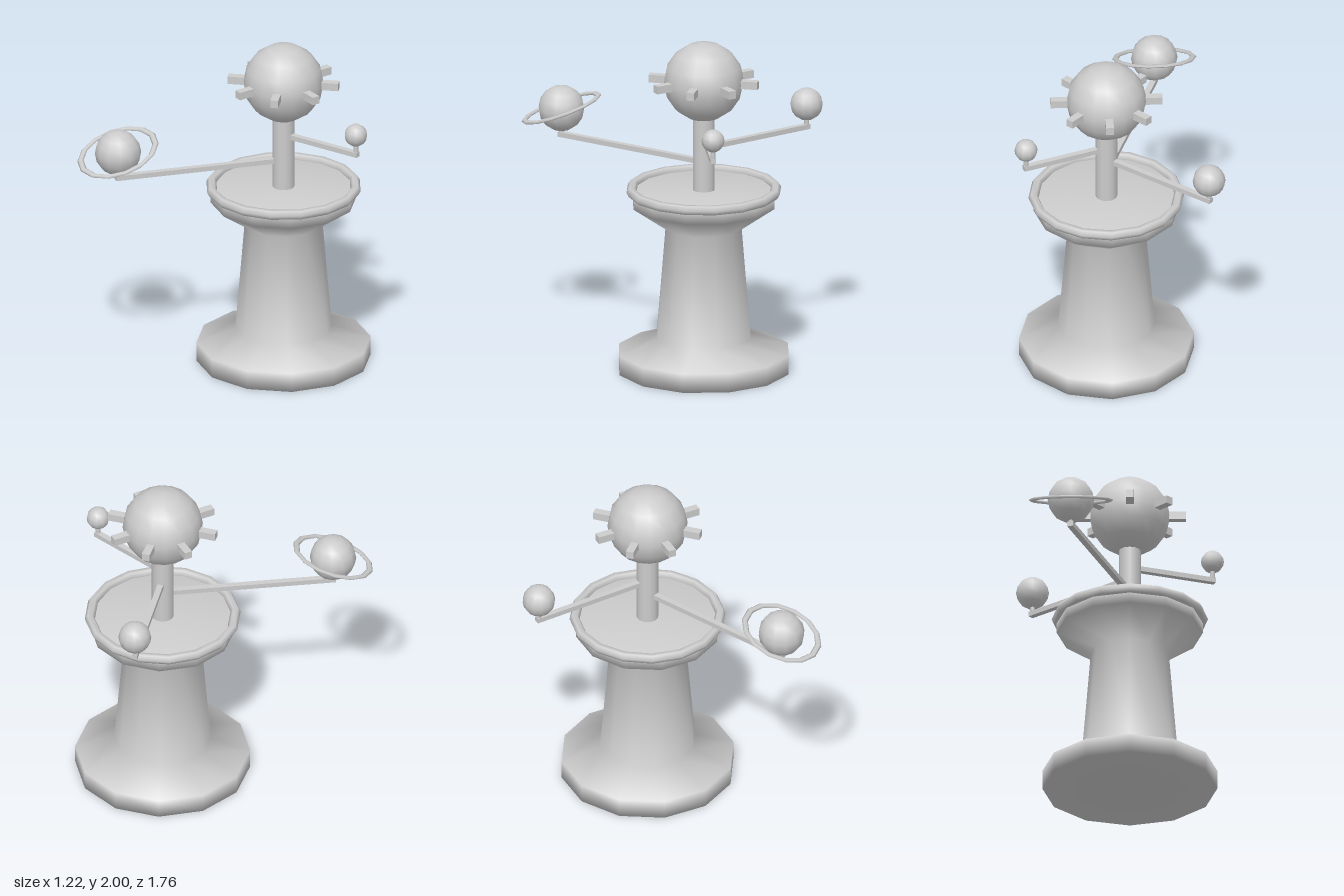
import * as THREE from 'three';

export function createModel() {
  const model = new THREE.Group();
  model.name = 'orrery';
  const grey = new THREE.MeshStandardMaterial({ color: 0xcccccc });
  grey.name = 'light grey';

  // everything turns around one upright axis
  const hub = new THREE.Group();
  hub.name = 'hub';
  hub.position.set(0.055, 0, -0.3);
  model.add(hub);

  function add(parent, name, geometry, x = 0, y = 0, z = 0) {
    const mesh = new THREE.Mesh(geometry, grey);
    mesh.name = name;
    mesh.position.set(x, y, z);
    parent.add(mesh);
    return mesh;
  }

  // turned pedestal with foot, shaft and flared table
  const profile = [
    [0, 0], [0.515, 0], [0.515, 0.115], [0.285, 0.2],
    [0.23, 0.87], [0.43, 1.01], [0.43, 1.095], [0, 1.1],
  ].map(([r, y]) => new THREE.Vector2(r, y));
  add(hub, 'pedestal', new THREE.LatheGeometry(profile, 12));

  // table rim
  add(hub, 'rim', new THREE.TorusGeometry(0.43, 0.03, 6, 16), 0, 1.098).rotation.x = Math.PI / 2;

  // central column and sun
  add(hub, 'column', new THREE.CylinderGeometry(0.065, 0.065, 0.5, 12), 0, 1.33);
  add(hub, 'sun', new THREE.SphereGeometry(0.237, 16, 8), 0, 1.764);

  // sun rays
  for (let i = 0; i < 8; i++) {
    const a = (i * Math.PI) / 4;
    const ray = add(hub, 'ray', new THREE.BoxGeometry(0.1, 0.047, 0.047),
      Math.cos(a) * 0.28, 1.763, -Math.sin(a) * 0.28);
    ray.rotation.y = a;
  }

  // arms, each with a post and a planet
  const planets = [
    { angle: 20, length: 0.517, armY: 1.43, y: 1.552, radius: 0.068, sides: 10 },
    { angle: 140, length: 0.748, armY: 1.355, y: 1.492, radius: 0.097, sides: 12 },
    { angle: 250, length: 1.01, armY: 1.27, y: 1.43, radius: 0.137, sides: 12 },
  ];
  for (const p of planets) {
    const a = THREE.MathUtils.degToRad(p.angle);
    const arm = new THREE.Group();
    arm.name = 'planetArm';
    arm.rotation.y = a;
    hub.add(arm);
    add(arm, 'bar', new THREE.BoxGeometry(p.length + 0.015, 0.03, 0.035), (p.length + 0.015) / 2, p.armY);
    const postTop = p.y - p.radius * 0.8;
    add(arm, 'post', new THREE.CylinderGeometry(0.015, 0.015, postTop - p.armY, 8),
      p.length, (postTop + p.armY) / 2);
    p.x = Math.cos(a) * p.length;
    p.z = -Math.sin(a) * p.length;
    add(hub, 'planet', new THREE.SphereGeometry(p.radius, p.sides, 8), p.x, p.y, p.z);
  }

  // flattened, tilted ring around the outer planet
  const outer = planets[2];
  const ring = add(hub, 'planetRing', new THREE.TorusGeometry(0.23, 0.019, 6, 14).scale(1, 1, 0.5),
    outer.x, outer.y, outer.z);
  ring.rotation.x = Math.PI / 2 + THREE.MathUtils.degToRad(20);

  return model;
}
